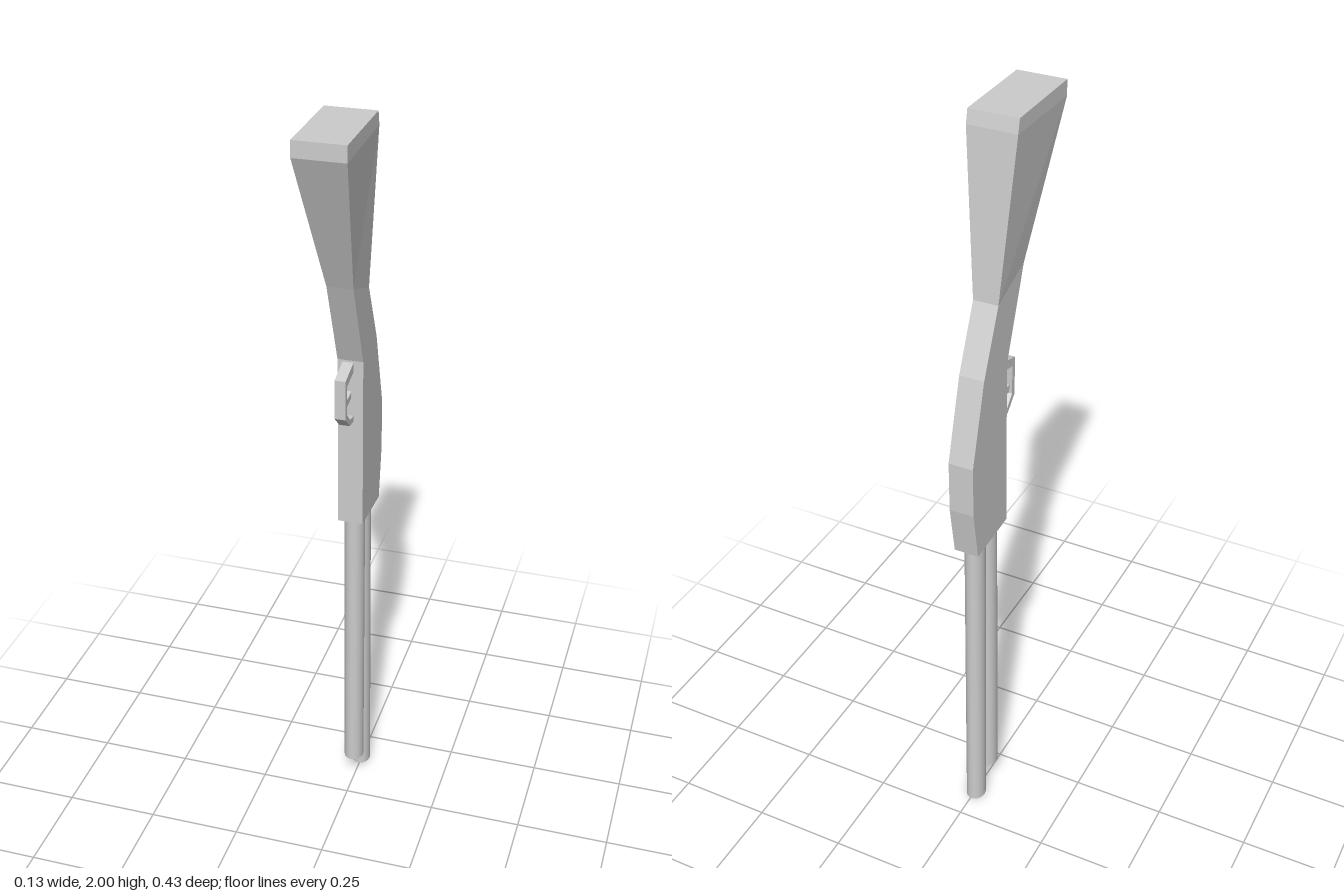
import * as THREE from 'three';

const material = new THREE.MeshStandardMaterial({ color: 0xcccccc, flatShading: true });
const smooth = new THREE.MeshStandardMaterial({ color: 0xcccccc });

// Loft of four-cornered sections: [half width, front y, front z, back y, back z]
function loftGeometry(sections) {
  const rings = sections.map(([w, yf, zf, yb, zb]) => [[w, yf, zf], [w, yb, zb], [-w, yb, zb], [-w, yf, zf]]);
  const points = [];
  const quad = (a, b, c, d) => points.push(...a, ...b, ...c, ...a, ...c, ...d);
  for (let i = 0; i < rings.length - 1; i++) {
    for (let j = 0; j < 4; j++) {
      const k = (j + 1) % 4;
      quad(rings[i][j], rings[i][k], rings[i + 1][k], rings[i + 1][j]);
    }
  }
  quad(...rings[rings.length - 1]);
  quad(...[...rings[0]].reverse());
  const geometry = new THREE.BufferGeometry();
  geometry.setAttribute('position', new THREE.Float32BufferAttribute(points, 3));
  geometry.computeVertexNormals();
  return geometry;
}

// Side outline given as [z, y], extruded across x around the given centre
function sidePlate(outline, width, centreX) {
  const shape = new THREE.Shape(outline.map(([z, y]) => new THREE.Vector2(z, y)));
  const geometry = new THREE.ExtrudeGeometry(shape, { depth: width, bevelEnabled: false });
  return geometry.translate(0, 0, -width / 2).rotateY(-Math.PI / 2).translate(centreX, 0, 0);
}

// Round bar between two points
function barrelGeometry(bottom, top, radiusX, radiusZ) {
  const height = top.y - bottom.y;
  const geometry = new THREE.CylinderGeometry(1, 1, height, 20);
  geometry.scale(radiusX, 1, radiusZ).translate(0, height / 2, 0);
  const position = geometry.attributes.position;
  for (let i = 0; i < position.count; i++) {
    const t = position.getY(i) / height;
    position.setXYZ(i,
      position.getX(i) + THREE.MathUtils.lerp(bottom.x, top.x, t),
      position.getY(i) + bottom.y,
      position.getZ(i) + THREE.MathUtils.lerp(bottom.z, top.z, t));
  }
  return geometry;
}

export function createModel() {
  const model = new THREE.Group();
  model.name = 'shotgun';
  const add = (name, geometry, mat = material) => {
    const mesh = new THREE.Mesh(geometry, mat);
    mesh.name = name;
    model.add(mesh);
  };

  // Stock and receiver, standing muzzle down with the butt on top
  add('stock', loftGeometry([
    [0.033, 0.9, -0.03, 0.89, -0.19],
    [0.033, 1.03, -0.03, 1.03, -0.212],
    [0.033, 1.17, -0.03, 1.17, -0.212],
    [0.033, 1.37, -0.028, 1.385, -0.15],
    [0.033, 1.6, 0.06, 1.55, -0.075],
    [0.064, 1.96, 0.215, 1.965, -0.04],
    [0.064, 2, 0.215, 2, -0.032],
  ]));

  // Barrel and the shorter magazine tube beside it
  const v = (x, y, z) => new THREE.Vector3(x, y, z);
  add('barrel', barrelGeometry(v(-0.003, 0, -0.158), v(-0.006, 0.92, -0.153), 0.026, 0.031), smooth);
  add('magazineTube', barrelGeometry(v(-0.005, 0.07, -0.089), v(-0.005, 0.92, -0.089), 0.027, 0.031), smooth);

  // Trigger guard: outer line, then back along the inner line
  add('triggerGuard', sidePlate([
    [-0.04, 1.2], [0.003, 1.204], [0.041, 1.24], [0.041, 1.346], [-0.04, 1.368],
    [-0.04, 1.342], [0.027, 1.326], [0.027, 1.247], [-0.002, 1.219], [-0.04, 1.216],
  ], 0.028, -0.006));

  // Trigger
  add('trigger', sidePlate([
    [-0.04, 1.268], [0.012, 1.258], [0.018, 1.278], [-0.01, 1.279], [-0.04, 1.288],
  ], 0.02, -0.008));

  return model;
}
